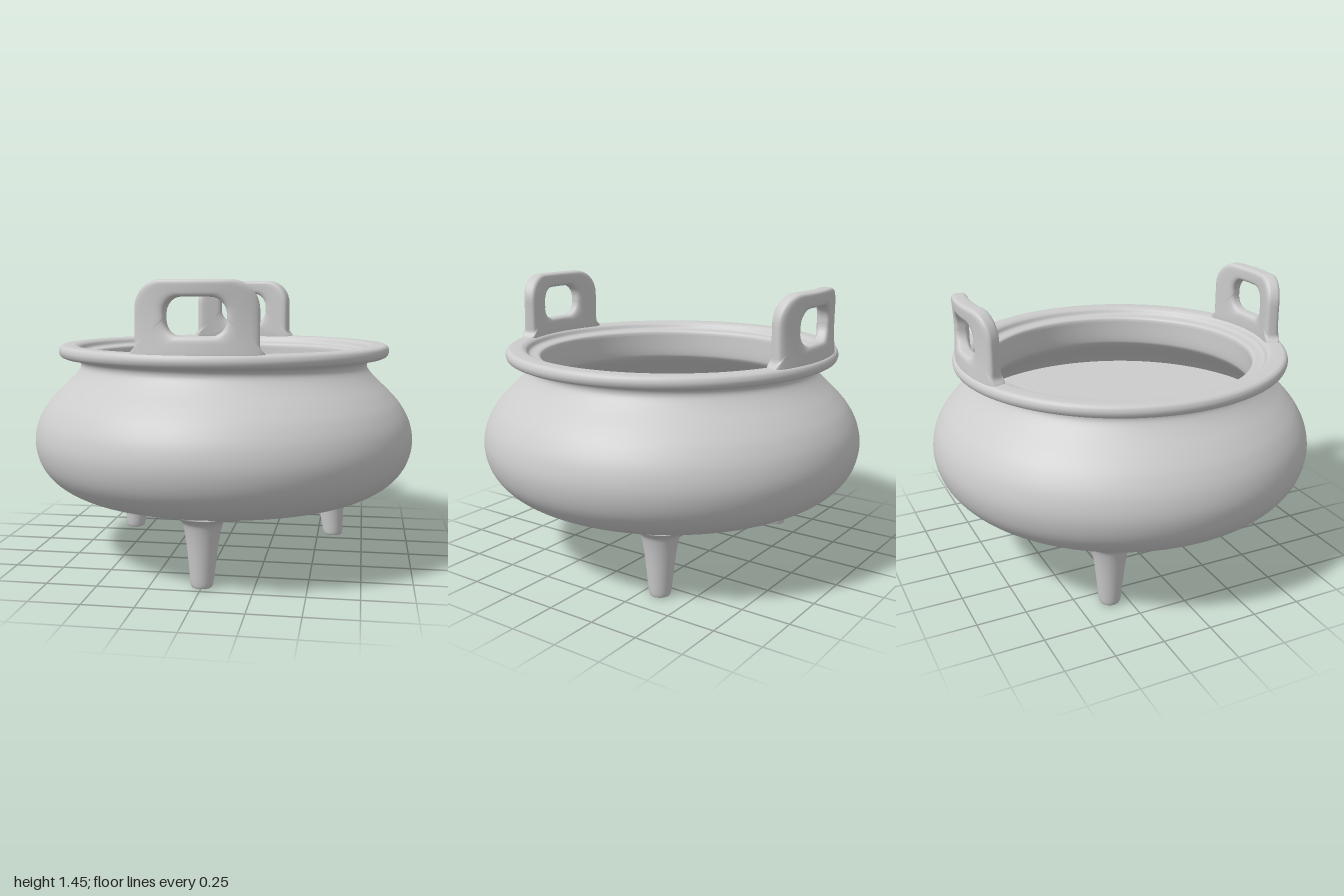
import * as THREE from 'three';

const material = new THREE.MeshStandardMaterial({ color: 0xcccccc, side: THREE.DoubleSide });
const v2 = (pts) => pts.map(([x, y]) => new THREE.Vector2(x, y));
const spline = (pts, n) => new THREE.SplineCurve(v2(pts)).getPoints(n);

function addMesh(parent, name, geometry) {
  const mesh = new THREE.Mesh(geometry, material);
  mesh.name = name;
  parent.add(mesh);
  return mesh;
}

// Counter-clockwise rounded rectangle with evenly matched points
function roundedLoop(hw, y0, y1, rBottom, rTop) {
  const corners = [[1, y0 + rBottom, rBottom], [1, y1 - rTop, rTop], [-1, y1 - rTop, rTop], [-1, y0 + rBottom, rBottom]];
  const at = (k, t) => {
    const [side, cy, r] = corners[k % 4];
    const a = (k % 4 - 1 + t) * Math.PI / 2;
    return new THREE.Vector2(side * (hw - r) + r * Math.cos(a), cy + r * Math.sin(a));
  };
  const pts = [];
  for (let k = 0; k < 4; k++) {
    for (let i = 0; i < 12; i++) pts.push(at(k, i / 12));
    for (let i = 0; i < 24; i++) pts.push(at(k, 1).lerp(at(k + 1, 0), i / 24));
  }
  return pts;
}

// Handle: rounded section swept between its hole and outline, bent along the rim
function handleGeometry() {
  const hole = roundedLoop(0.14, 1.2, 1.375, 0.075, 0.075);
  const outline = roundedLoop(0.286, 1.09, 1.453, 0.01, 0.135);
  const sections = 40, radius = 0.815, halfThickness = 0.041;
  const soft = (c) => Math.sign(c) * Math.abs(c) ** 0.5;
  const pos = [], index = [];
  outline.forEach((o, i) => {
    // small fillet where the handle meets the rim
    o.x += Math.sign(o.x) * 0.025 * THREE.MathUtils.clamp((1.155 - o.y) / 0.035, 0, 1) ** 2;
    for (let j = 0; j < sections; j++) {
      const a = Math.PI - j / sections * Math.PI * 2;
      const p = hole[i].clone().lerp(o, 0.5 + 0.5 * soft(Math.cos(a)));
      let z = halfThickness * soft(Math.sin(a));
      // slight outward swell at top and base
      if (z > 0) z *= 1 - 0.2 * Math.max(0, 1 - ((p.y - 1.28) / 0.17) ** 2);
      const bend = p.x / radius;
      pos.push((radius + z) * Math.sin(bend), p.y, (radius + z) * Math.cos(bend));
      const ni = (i + 1) % outline.length, nj = (j + 1) % sections;
      const A = i * sections + j, B = i * sections + nj, C = ni * sections + j, D = ni * sections + nj;
      index.push(A, B, C, B, D, C);
    }
  });
  const g = new THREE.BufferGeometry();
  g.setAttribute('position', new THREE.Float32BufferAttribute(pos, 3));
  g.setIndex(index);
  g.computeVertexNormals();
  return g;
}

// Leg: tapered lathe flaring into the base, leaning inward at the top
function legGeometry() {
  const profile = [...v2([[0, 0], [0.02, 0], [0.036, 0]]),
    ...spline([[0.043, 0.002], [0.054, 0.016], [0.064, 0.1], [0.076, 0.2], [0.09, 0.28], [0.104, 0.318], [0.138, 0.346]], 30)];
  const g = new THREE.LatheGeometry(profile, 40);
  const p = g.attributes.position;
  for (let i = 0; i < p.count; i++) p.setZ(i, p.getZ(i) - 0.1 * p.getY(i));
  return g;
}

export function createModel() {
  const group = new THREE.Group();

  // Bulging bowl, from the flat base up to the neck
  addMesh(group, 'bowl', new THREE.LatheGeometry([
    ...v2([[0, 0.345], [0.68, 0.345], [0.71, 0.345]]),
    ...spline([[0.735, 0.346], [0.81, 0.362], [0.905, 0.42], [0.972, 0.505], [1, 0.612], [0.985, 0.715], [0.94, 0.803],
      [0.88, 0.873], [0.81, 0.94], [0.77, 0.985], [0.757, 1.015], [0.768, 1.04], [0.8, 1.053]], 70),
  ], 128));

  // Flared rim, stepped inner lip and the inside wall widening below the neck
  addMesh(group, 'rimAndInnerWall', new THREE.LatheGeometry([
    ...v2([[0.77, 1.052], [0.8, 1.053], [0.835, 1.055]]),
    ...spline([[0.845, 1.056], [0.862, 1.066], [0.87, 1.088], [0.864, 1.11], [0.85, 1.12]], 16),
    ...v2([[0.84, 1.121], [0.8, 1.121]]),
    ...spline([[0.785, 1.12], [0.765, 1.11], [0.752, 1.09], [0.735, 1.083], [0.705, 1.08], [0.692, 1.072], [0.688, 1.055]], 28),
    ...spline([[0.688, 1.04], [0.688, 0.95], [0.7, 0.912], [0.75, 0.865], [0.83, 0.8], [0.89, 0.74]], 28),
  ], 128));

  // Flat inner floor
  const floor = addMesh(group, 'innerFloor', new THREE.CircleGeometry(0.89, 128));
  floor.rotation.x = -Math.PI / 2;
  floor.position.y = 0.74;

  // Front and back handles
  const handle = handleGeometry();
  addMesh(group, 'frontHandle', handle);
  addMesh(group, 'backHandle', handle).rotation.y = Math.PI;

  // Three legs, one at the front
  const leg = legGeometry();
  ['frontLeg', 'backLeftLeg', 'backRightLeg'].forEach((name, i) => {
    const mesh = addMesh(group, name, leg);
    const a = i * Math.PI * 2 / 3;
    mesh.rotation.y = a;
    mesh.position.set(0.679 * Math.sin(a), 0, 0.679 * Math.cos(a));
  });

  return group;
}
